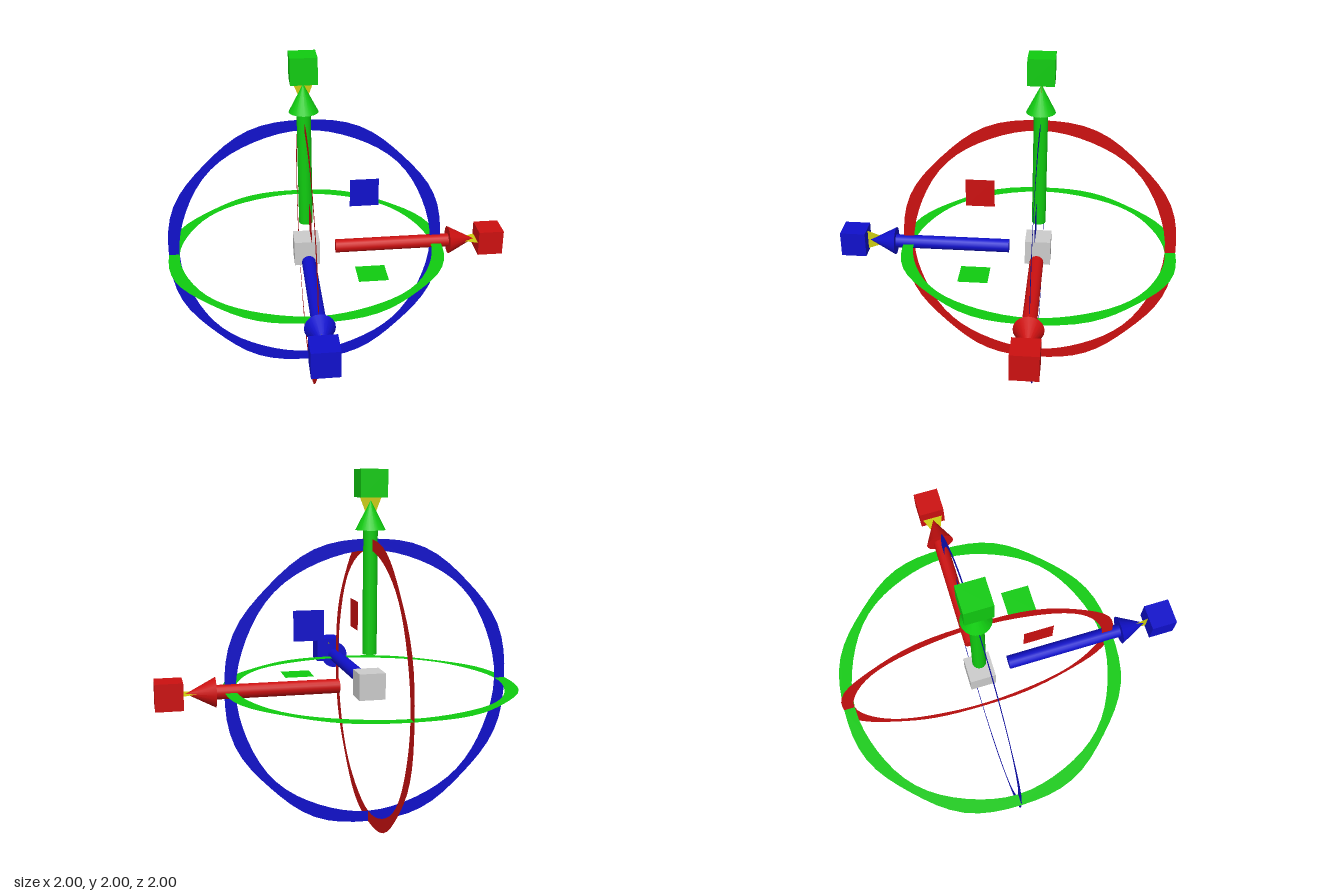
import * as THREE from 'three';

const RED = 0xcc1010, GREEN = 0x10cc10, BLUE = 0x1010cc, YELLOW = 0xcccc10;

function part(name, geometry, color, y = 0) {
  const material = new THREE.MeshStandardMaterial({ color, side: THREE.DoubleSide });
  const mesh = new THREE.Mesh(geometry, material);
  mesh.name = name;
  mesh.position.y = y;
  return mesh;
}

// Flat ring whose width swells and thins gently eight times round
function ringGeometry() {
  const outline = (mean, eighth, fourth) => Array.from({ length: 64 }, (_, i) => {
    const a = (i / 64) * Math.PI * 2;
    const r = mean + eighth * Math.cos(8 * a) + fourth * Math.cos(4 * a);
    return new THREE.Vector2(r * Math.cos(a), r * Math.sin(a));
  });
  const shape = new THREE.Shape(outline(0.815, -0.0075, 0.005));
  shape.holes.push(new THREE.Path(outline(0.749, 0.0035, -0.0025)));
  return new THREE.ShapeGeometry(shape).rotateX(-Math.PI / 2);
}

// One axis set, built along +y with its ring and square in the xz plane
function axisSet(name, color) {
  const group = new THREE.Group();
  group.name = name;
  group.add(part('shaft', new THREE.CylinderGeometry(0.04, 0.04, 0.69, 16), color, 0.52));
  group.add(part('arrowHead', new THREE.ConeGeometry(0.083, 0.16, 20), color, 0.94));
  group.add(part('endCube', new THREE.BoxGeometry(0.15, 0.15, 0.15), color, 1.11));

  // Flat wedge joining the arrow head to the cube
  const wedge = new THREE.Shape([
    new THREE.Vector2(0, 0.88), new THREE.Vector2(0.066, 1.05), new THREE.Vector2(-0.066, 1.05),
  ]);
  group.add(part('wedge', new THREE.ShapeGeometry(wedge), YELLOW));

  group.add(part('ring', ringGeometry(), color));
  const square = part('planeSquare', new THREE.PlaneGeometry(0.17, 0.17).rotateX(-Math.PI / 2), color);
  square.position.set(0.345, 0, 0.345);
  group.add(square);
  return group;
}

export function createModel() {
  const model = new THREE.Group();
  model.name = 'transformGizmo';
  const body = new THREE.Group();
  body.name = 'gizmoBody';
  body.position.set(-0.186, 0.814, -0.186);
  model.add(body);

  body.add(part('centreCube', new THREE.BoxGeometry(0.15, 0.15, 0.15), 0xcccccc));

  // Turning a third about the diagonal carries y to z, then to x
  const diagonal = new THREE.Vector3(1, 1, 1).normalize();
  [['upAxis', GREEN], ['frontAxis', BLUE], ['sideAxis', RED]].forEach(([name, color], i) => {
    const set = axisSet(name, color);
    set.quaternion.setFromAxisAngle(diagonal, (i * 2 * Math.PI) / 3);
    body.add(set);
  });
  return model;
}
